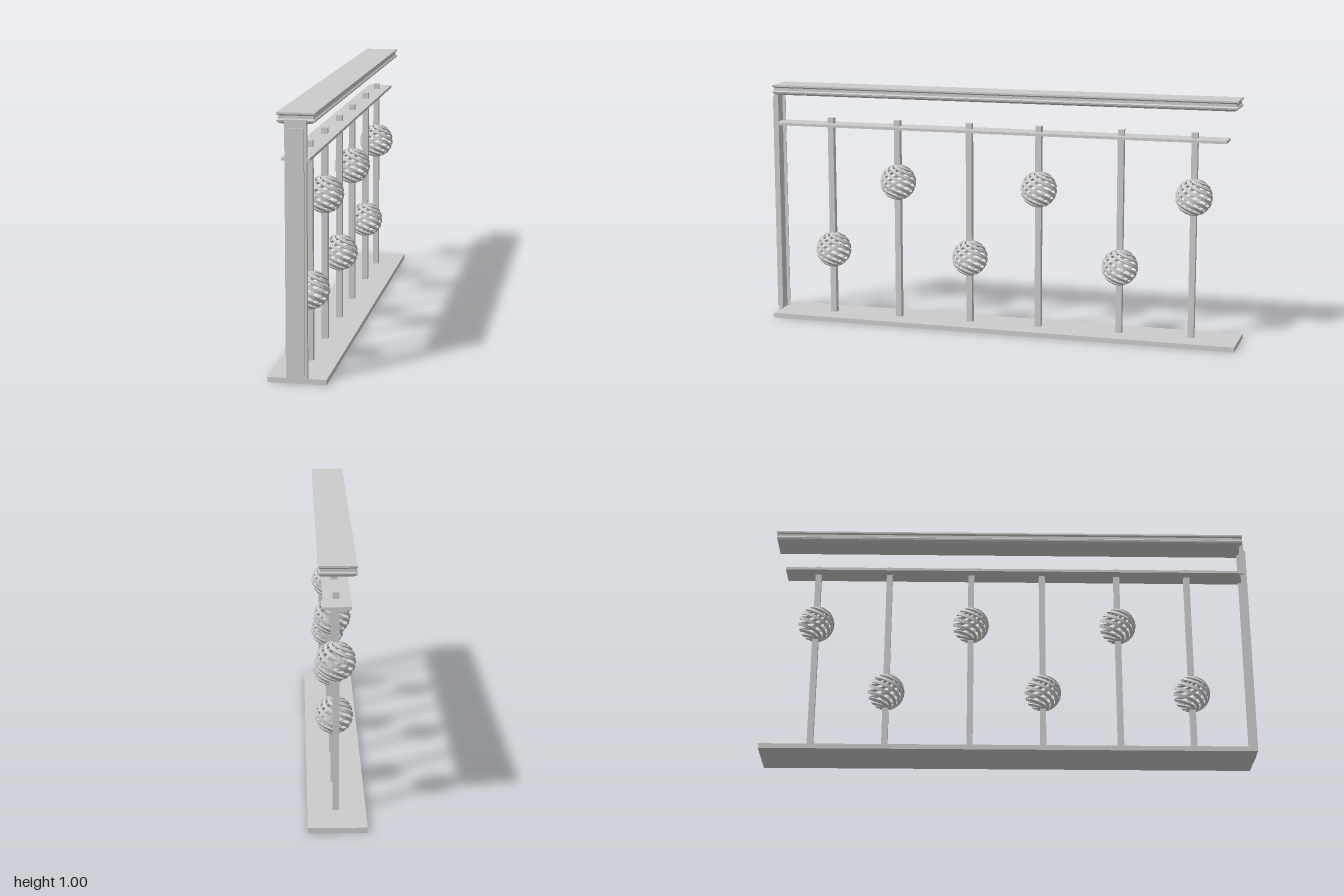
import * as THREE from 'three';

const mat = new THREE.MeshStandardMaterial({ color: 0xcccccc, flatShading: true, side: THREE.DoubleSide });

// Box given by its lower and upper limits on each axis
function box(parent, name, [x0, x1], [y0, y1], [z0, z1]) {
  const mesh = new THREE.Mesh(new THREE.BoxGeometry(x1 - x0, y1 - y0, z1 - z0), mat);
  mesh.position.set((x0 + x1) / 2, (y0 + y1) / 2, (z0 + z1) / 2);
  mesh.name = name;
  parent.add(mesh);
  return mesh;
}

// Skin a list of four-cornered rings and close both ends
function loft(rings) {
  const pos = rings.flat().flatMap((p) => [p.x, p.y, p.z]);
  const idx = [];
  for (let i = 0; i < rings.length - 1; i++) {
    for (let j = 0; j < 4; j++) {
      const a = i * 4 + j, b = i * 4 + (j + 1) % 4;
      idx.push(a, a + 4, b, b, a + 4, b + 4);
    }
  }
  const e = (rings.length - 1) * 4;
  idx.push(0, 1, 2, 0, 2, 3, e, e + 2, e + 1, e, e + 3, e + 2);
  const g = new THREE.BufferGeometry();
  g.setAttribute('position', new THREE.Float32BufferAttribute(pos, 3));
  g.setIndex(idx);
  const flat = g.toNonIndexed();
  flat.computeVertexNormals();
  return flat;
}

// Handrail: rectangles stacked upward with a groove running round the edge
function handrailGeometry() {
  const profile = [[0.958, 0.056], [0.965, 0.068], [0.972, 0.07], [0.977, 0.064],
    [0.988, 0.064], [0.993, 0.07], [1.0, 0.07]];
  return loft(profile.map(([y, hx]) => {
    const hz = 0.985 - (0.07 - hx);
    return [[-1, -1], [-1, 1], [1, 1], [1, -1]].map(([sx, sz]) => new THREE.Vector3(sx * hx, y, sz * hz));
  }));
}

// One flat band of the basket, winding once from the top pole to the bottom
function bandGeometry(radius, width, thickness) {
  const point = (t) => new THREE.Vector3(
    Math.sin(t) * Math.cos(2 * t), Math.cos(t), -Math.sin(t) * Math.sin(2 * t));
  const steps = 28, start = 0.17;
  const rings = [];
  for (let i = 0; i <= steps; i++) {
    const t = start + (Math.PI - 2 * start) * i / steps;
    const n = point(t);
    const tangent = point(t + 0.01).sub(point(t - 0.01)).normalize();
    const across = new THREE.Vector3().crossVectors(tangent, n).normalize();
    rings.push([[-1, 0], [1, 0], [1, 1], [-1, 1]].map(([s, inner]) =>
      n.clone().multiplyScalar(radius - inner * thickness).addScaledVector(across, s * width / 2)));
  }
  return loft(rings);
}

export function createModel() {
  const model = new THREE.Group();
  model.name = 'railing';

  box(model, 'basePlate', [-0.11, 0.11], [0, 0.02], [-1, 0.985]);
  box(model, 'midRail', [-0.052, 0.052], [0.827, 0.838], [-0.94, 0.988]);

  const handrail = new THREE.Mesh(handrailGeometry(), mat);
  handrail.name = 'handrail';
  model.add(handrail);

  // End post: a channel open to the back, with a raised front panel
  const post = new THREE.Group();
  post.name = 'endPost';
  box(post, 'postWeb', [-0.04, 0.04], [0.01, 0.975], [0.987, 0.991]);
  for (const s of [-1, 1]) {
    box(post, 'postFlange', [s * 0.0385 - 0.0015, s * 0.0385 + 0.0015], [0.01, 0.975], [0.973, 0.988]);
  }
  box(post, 'postPanel', [-0.032, 0.032], [0.035, 0.945], [0.99, 1.0]);
  model.add(post);

  // Balusters, each broken by a twisted basket at alternating heights
  const band = bandGeometry(0.075, 0.013, 0.005);
  const bands = 8, w = 0.0125, cx = 0.003;
  [0.747, 0.45, 0.135, -0.163, -0.507, -0.807].forEach((z, i) => {
    const baluster = new THREE.Group();
    baluster.name = 'baluster';
    const cy = i % 2 ? 0.6 : 0.294;
    box(baluster, 'lowerBar', [cx - w, cx + w], [0.015, cy - 0.067], [z - w, z + w]);
    box(baluster, 'upperBar', [cx - w, cx + w], [cy + 0.067, 0.862], [z - w, z + w]);
    const basket = new THREE.Group();
    basket.name = 'basket';
    basket.position.set(cx, cy, z);
    for (let k = 0; k < bands; k++) {
      const strip = new THREE.Mesh(band, mat);
      strip.name = 'basketBand';
      strip.rotation.y = k * 2 * Math.PI / bands;
      basket.add(strip);
    }
    baluster.add(basket);
    model.add(baluster);
  });

  return model;
}
